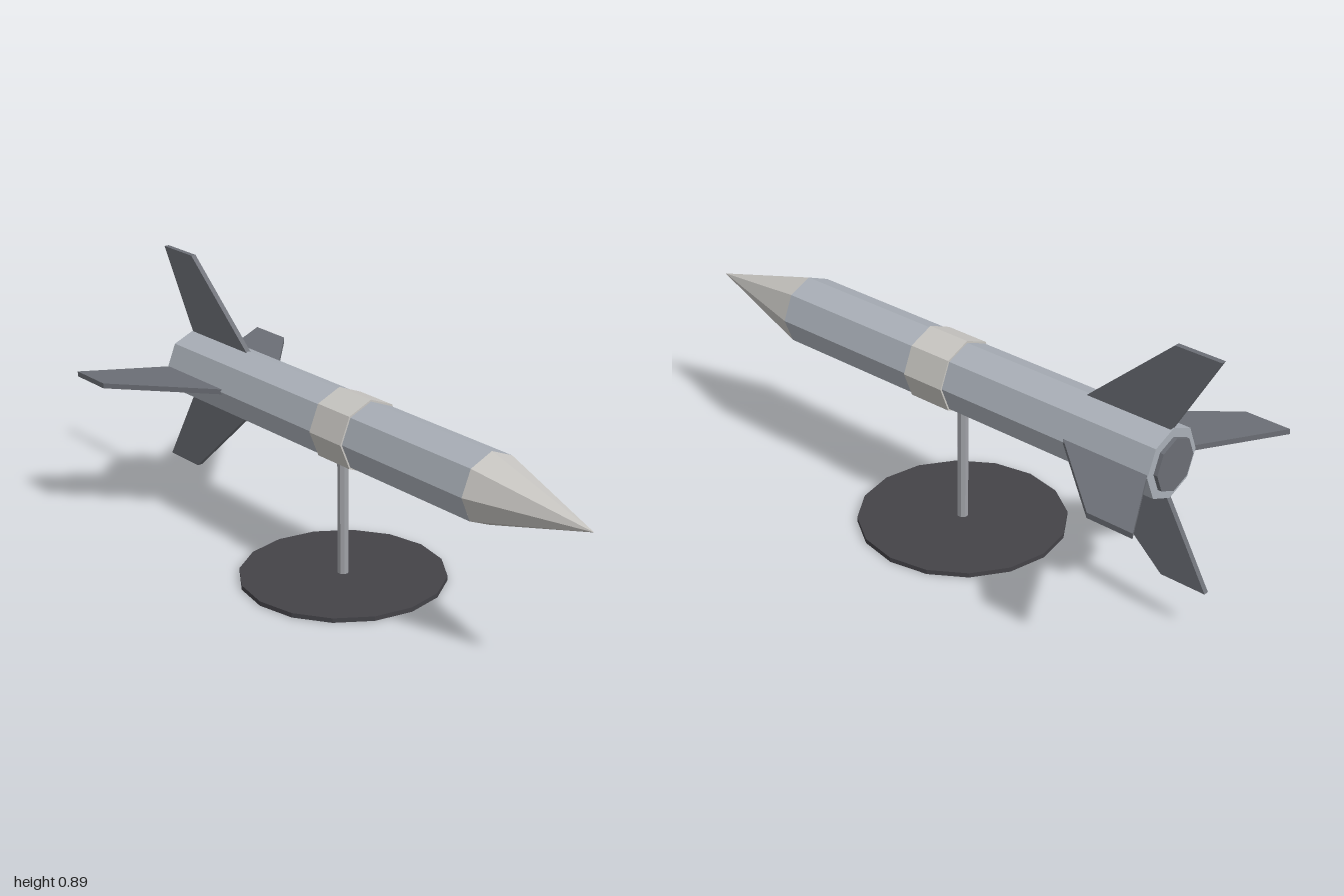
import * as THREE from 'three';

const AXIS_Y = 0.517;   // height of the rocket's long axis
const STAND_Z = -0.07;  // stand sits just behind the middle

const paint = (color) => new THREE.MeshStandardMaterial({ color, flatShading: true });

export function createModel() {
  const model = new THREE.Group();
  model.name = 'rocketOnStand';

  const hull = paint(0xaab0b8);
  const pale = paint(0xc8c6c2);
  const finGrey = paint(0x6b6e75);
  const dark = paint(0x444348);
  const steel = paint(0x9fa1a6);

  const rocket = new THREE.Group();
  rocket.name = 'rocket';
  rocket.position.y = AXIS_Y;
  model.add(rocket);

  // Octagonal section of the rocket running from zBack to zFront
  const section = (name, rFront, rBack, zFront, zBack, material) => {
    const geo = new THREE.CylinderGeometry(rFront, rBack, zFront - zBack, 8);
    geo.rotateX(Math.PI / 2);
    geo.translate(0, 0, (zFront + zBack) / 2);
    const mesh = new THREE.Mesh(geo, material);
    mesh.name = name;
    rocket.add(mesh);
  };
  section('body', 0.114, 0.114, 0.595, -0.853, hull);
  section('noseCone', 0, 0.114, 1, 0.595, pale);
  section('band', 0.12, 0.12, 0.065, -0.085, pale);
  section('nozzle', 0.085, 0.085, -0.8, -0.866, finGrey);

  // Swept fins: profile drawn as (distance from axis, z), extruded to thickness
  const thickness = 0.017;
  const profile = new THREE.Shape([
    [0.095, -0.533], [0.373, -0.845], [0.373, -1], [0.095, -0.84],
  ].map(([r, z]) => new THREE.Vector2(r, -z)));
  const finGeo = new THREE.ExtrudeGeometry(profile, { depth: thickness, bevelEnabled: false });
  finGeo.translate(0, 0, -thickness / 2);
  finGeo.rotateX(-Math.PI / 2);
  ['leftFin', 'topFin', 'rightFin', 'bottomFin'].forEach((name, i) => {
    const fin = new THREE.Mesh(finGeo, finGrey);
    fin.name = name;
    fin.rotation.z = i * Math.PI / 2;
    rocket.add(fin);
  });

  // Display stand
  const base = new THREE.Mesh(new THREE.CylinderGeometry(0.333, 0.333, 0.015, 16), dark);
  base.name = 'standBase';
  base.position.set(0, 0.0075, STAND_Z);
  const post = new THREE.Mesh(new THREE.CylinderGeometry(0.018, 0.018, 0.41, 8), steel);
  post.name = 'standPost';
  post.position.set(0, 0.215, STAND_Z);
  post.rotation.y = Math.PI / 8;
  model.add(base, post);

  return model;
}
